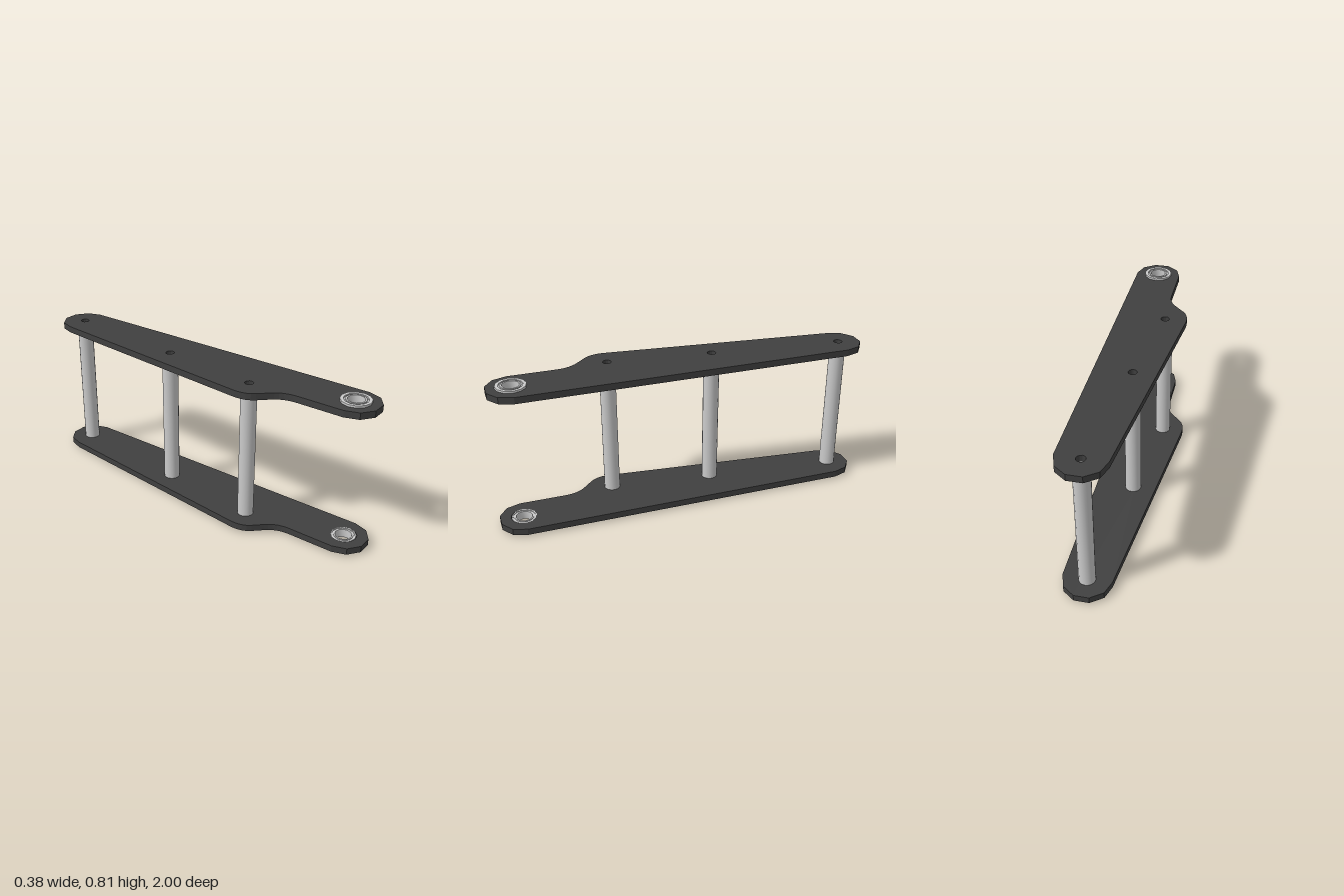
import * as THREE from 'three';
import { toCreasedNormals } from 'three/addons/utils/BufferGeometryUtils.js';

const PLATE_T = 0.035, FLANGE_T = 0.011, HEIGHT = 0.807;
const PIVOT_X = 0.065, END_Z = 0.881, END_R = 0.125;
const POSTS = [[PIVOT_X, -0.885], [-0.01, -0.183], [-0.071, 0.367]]; // x, z

// Closed (radius, y) profile spun into a solid with sharp edges
function spin(profile, sides) {
  const pts = [...profile, profile[0]].map(([r, y]) => new THREE.Vector2(r, y));
  return toCreasedNormals(new THREE.LatheGeometry(pts, sides), 0.7);
}

function circleHole(x, z, r, sides) {
  const pts = [];
  for (let i = 0; i < sides; i++) {
    const a = -i / sides * Math.PI * 2;
    pts.push(new THREE.Vector2(x + r * Math.cos(a), -z + r * Math.sin(a)));
  }
  return new THREE.Path(pts);
}

// Arm plate outline, drawn with shape y = -z
function plateGeometry() {
  const pts = [];
  const add = (x, z) => pts.push(new THREE.Vector2(x, -z));
  const bend = (a, c, b, n) => new THREE.QuadraticBezierCurve(
    new THREE.Vector2(...a), new THREE.Vector2(...c), new THREE.Vector2(...b)
  ).getPoints(n).forEach(p => add(p.x, p.y));
  const end = (sign, from) => {
    for (let i = 0; i <= 5; i++) {
      const a = (from + i * 36) * Math.PI / 180;
      add(PIVOT_X + END_R * Math.cos(a), -END_Z * sign - END_R * Math.sin(a));
    }
  };
  end(1, 0); // rear rounded end
  bend([-0.185, 0.33], [-0.199, 0.42], [-0.155, 0.465], 5); // elbow
  bend([-0.11, 0.511], [-0.058, 0.56], [-0.06, 0.64], 6); // inner fillet
  end(-1, 180); // front rounded end
  const shape = new THREE.Shape(pts);
  POSTS.forEach(([x, z]) => shape.holes.push(circleHole(x, z, 0.023, 12)));
  shape.holes.push(circleHole(PIVOT_X, END_Z, 0.066, 12));
  const geo = new THREE.ExtrudeGeometry(shape, { depth: PLATE_T, bevelEnabled: false });
  return geo.rotateX(-Math.PI / 2);
}

export function createModel() {
  const group = new THREE.Group();
  const dark = new THREE.MeshStandardMaterial({ color: 0x404040 });
  const grey = new THREE.MeshStandardMaterial({ color: 0xcccccc });
  const add = (name, geo, mat, x, y, z) => {
    const mesh = new THREE.Mesh(geo, mat);
    mesh.name = name;
    mesh.position.set(x, y, z);
    group.add(mesh);
    return mesh;
  };

  // Two matching side plates
  const plate = plateGeometry();
  add('lowerPlate', plate, dark, 0, FLANGE_T, 0);
  add('upperPlate', plate, dark, 0, HEIGHT - FLANGE_T - PLATE_T, 0);

  // Hollow spacer posts between the plates
  const half = HEIGHT / 2 - FLANGE_T - PLATE_T;
  const post = spin([[0.023, -half], [0.0425, -half], [0.0425, half], [0.023, half]], 16);
  ['rearPost', 'middlePost', 'frontPost'].forEach((name, i) =>
    add(name, post, grey, POSTS[i][0], HEIGHT / 2, POSTS[i][1]));

  // Flanged bearings: outer race, recessed shield, inner race
  const bearing = spin([
    [0.043, -PLATE_T], [0.051, -PLATE_T], [0.051, -0.031], [0.059, -0.031],
    [0.059, -PLATE_T], [0.066, -PLATE_T], [0.066, 0], [0.078, 0],
    [0.078, FLANGE_T], [0.061, FLANGE_T], [0.061, 0.004], [0.052, 0.004],
    [0.052, FLANGE_T], [0.043, FLANGE_T],
  ], 12);
  add('upperBearing', bearing, grey, PIVOT_X, HEIGHT - FLANGE_T, END_Z - 0.003);
  add('lowerBearing', bearing, grey, PIVOT_X, FLANGE_T, END_Z - 0.003).rotation.x = Math.PI;

  return group;
}
